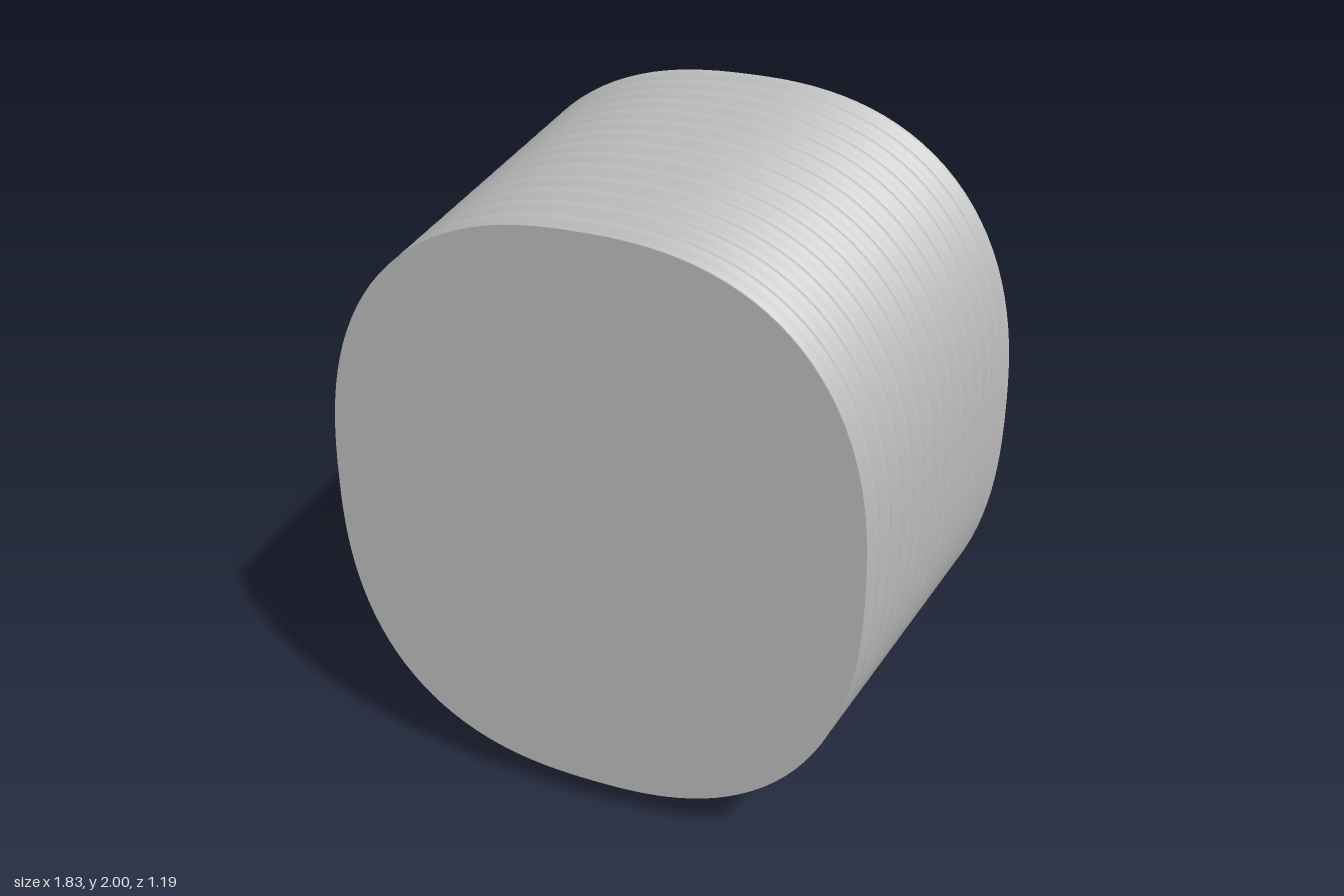
import * as THREE from 'three';
import { mergeVertices } from 'three/addons/utils/BufferGeometryUtils.js';

const DEPTH = 1.194, WAVES = 14, SIDES = 128, POWER = 2.45;
const HALF_W = 0.915, HALF_H = 1.0;

// Rounded-square outline point at an angle
function outline(angle, scale) {
  const c = Math.cos(angle), s = Math.sin(angle);
  const r = scale / Math.pow(Math.abs(c) ** POWER + Math.abs(s) ** POWER, 1 / POWER);
  return new THREE.Vector2(c * r * HALF_W, s * r * HALF_H);
}

// Taper from back to front with a ripple that crests at both ends
function scaleAt(z) {
  const t = z / DEPTH + 0.5;
  return 0.985 - 0.095 * t + 0.015 * Math.cos(t * WAVES * Math.PI * 2);
}

export function createModel() {
  const model = new THREE.Group();
  model.name = 'corrugatedDrum';
  const grey = new THREE.MeshStandardMaterial({ color: 0xbcbcbc });
  grey.name = 'lightGrey';

  // Corrugated wall: an open cylinder reshaped ring by ring
  let wall = new THREE.CylinderGeometry(1, 1, DEPTH, SIDES, WAVES * 12, true);
  wall.rotateX(Math.PI / 2);
  const pos = wall.attributes.position;
  for (let i = 0; i < pos.count; i++) {
    const p = outline(Math.atan2(pos.getY(i), pos.getX(i)), scaleAt(pos.getZ(i)));
    pos.setXY(i, p.x, p.y);
  }
  wall.deleteAttribute('uv');
  wall.deleteAttribute('normal');
  wall = mergeVertices(wall, 1e-5);
  wall.computeVertexNormals();
  const wallMesh = new THREE.Mesh(wall, grey);
  wallMesh.name = 'corrugatedWall';
  model.add(wallMesh);

  // Flat end caps
  for (const [name, side] of [['frontCap', 1], ['backCap', -1]]) {
    const z = side * DEPTH / 2;
    const points = [];
    for (let i = 0; i < SIDES; i++) points.push(outline(i / SIDES * Math.PI * 2, scaleAt(z)));
    const cap = new THREE.Mesh(new THREE.ShapeGeometry(new THREE.Shape(points)), grey);
    cap.name = name;
    cap.position.z = z;
    if (side < 0) cap.rotation.y = Math.PI;
    model.add(cap);
  }

  model.position.y = HALF_H;
  return model;
}
